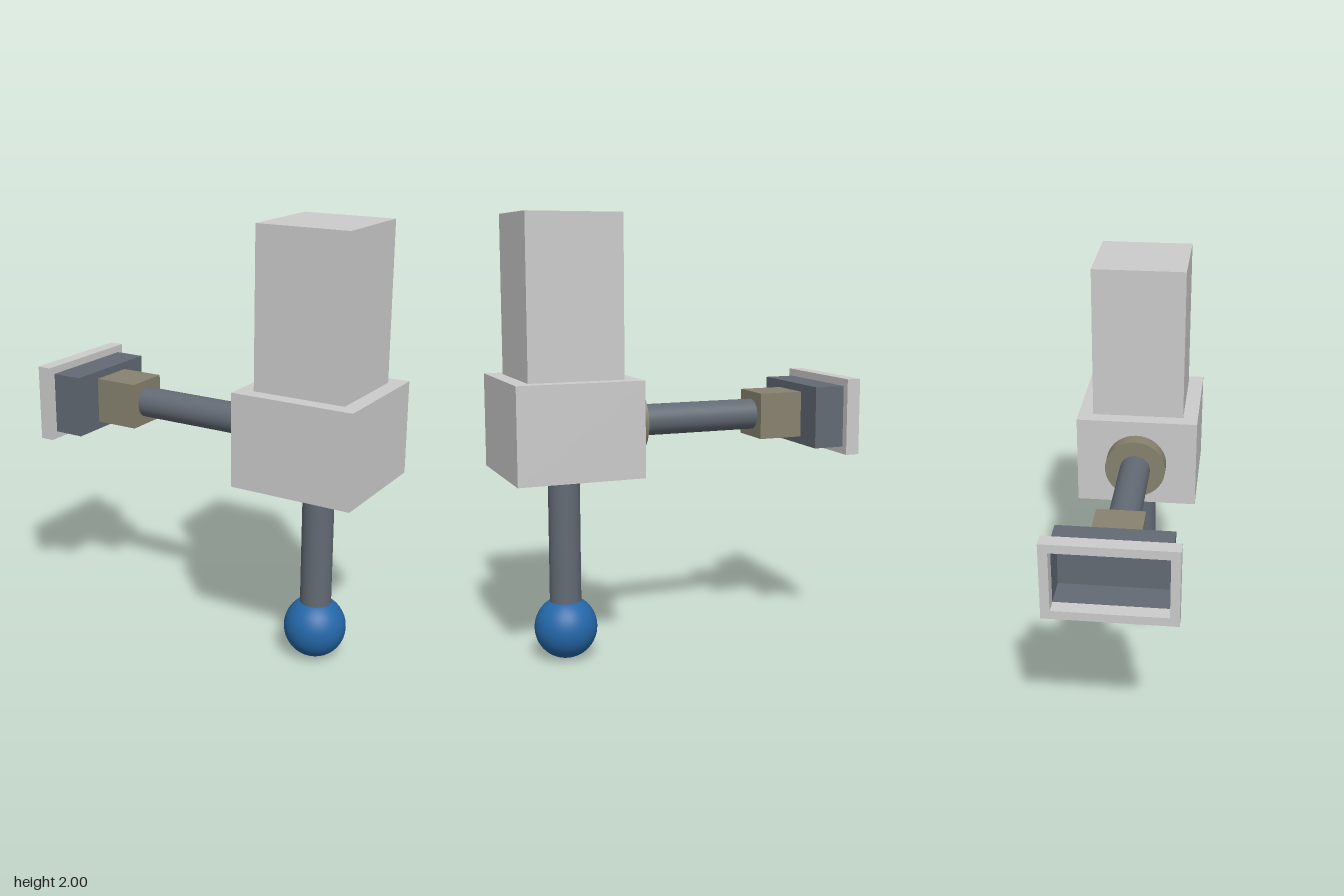
import * as THREE from 'three';

const paint = (color) => new THREE.MeshStandardMaterial({ color });

export function createModel() {
  const model = new THREE.Group();
  const grey = paint(0xcccccc), steel = paint(0x626a74), bronze = paint(0x87826f), blue = paint(0x2467a8);
  const columnX = 0.532, armY = 1.075;

  const add = (name, geometry, material, x, y) => {
    const mesh = new THREE.Mesh(geometry, material);
    mesh.name = name;
    mesh.position.set(x, y, 0);
    model.add(mesh);
    return mesh;
  };
  const box = (name, material, x0, x1, y0, y1, depth) =>
    add(name, new THREE.BoxGeometry(x1 - x0, y1 - y0, depth), material, (x0 + x1) / 2, (y0 + y1) / 2);

  // Cylinder lying along x
  const barX = (name, material, radius, x0, x1) =>
    add(name, new THREE.CylinderGeometry(radius, radius, x1 - x0, 48).rotateZ(Math.PI / 2), material, (x0 + x1) / 2, armY);

  // Rectangular ring around the arm axis, extruded along x
  const rectangle = (target, w, h) => target
    .moveTo(-w / 2, -h / 2).lineTo(w / 2, -h / 2).lineTo(w / 2, h / 2).lineTo(-w / 2, h / 2).closePath();
  const ringX = (name, material, x0, x1, [w, h], [holeW, holeH]) => {
    const shape = rectangle(new THREE.Shape(), w, h);
    shape.holes.push(rectangle(new THREE.Path(), holeW, holeH));
    const geometry = new THREE.ExtrudeGeometry(shape, { depth: x1 - x0, bevelEnabled: false });
    return add(name, geometry.rotateY(Math.PI / 2), material, x0, armY);
  };

  // Upright column: motor block, housing, shaft and ball tip
  box('upperBlock', grey, columnX - 0.215, columnX + 0.215, 1.288, 2, 0.43);
  box('housing', grey, columnX - 0.285, columnX + 0.285, 0.862, 1.288, 0.57);
  add('verticalShaft', new THREE.CylinderGeometry(0.0715, 0.0715, 0.72, 48), steel, columnX, 0.502);
  add('ballTip', new THREE.SphereGeometry(0.143, 48, 32), blue, columnX, 0.143);

  // Side arm: flange, rod and connector block
  barX('flange', bronze, 0.143, 0.175, 0.247);
  barX('armRod', steel, 0.0715, -0.397, 0.175);
  box('connector', bronze, -0.608, -0.397, armY - 0.107, armY + 0.107, 0.214);

  // Hollow cup at the end of the arm, open outwards, with a rim frame
  const hole = [0.49, 0.276];
  box('cupBack', steel, -0.614, -0.608, armY - 0.143, armY + 0.143, 0.5);
  ringX('cupWalls', steel, -0.754, -0.614, [0.5, 0.286], hole);
  ringX('rimFrame', grey, -0.82, -0.754, [0.57, 0.355], hole);

  return model;
}
